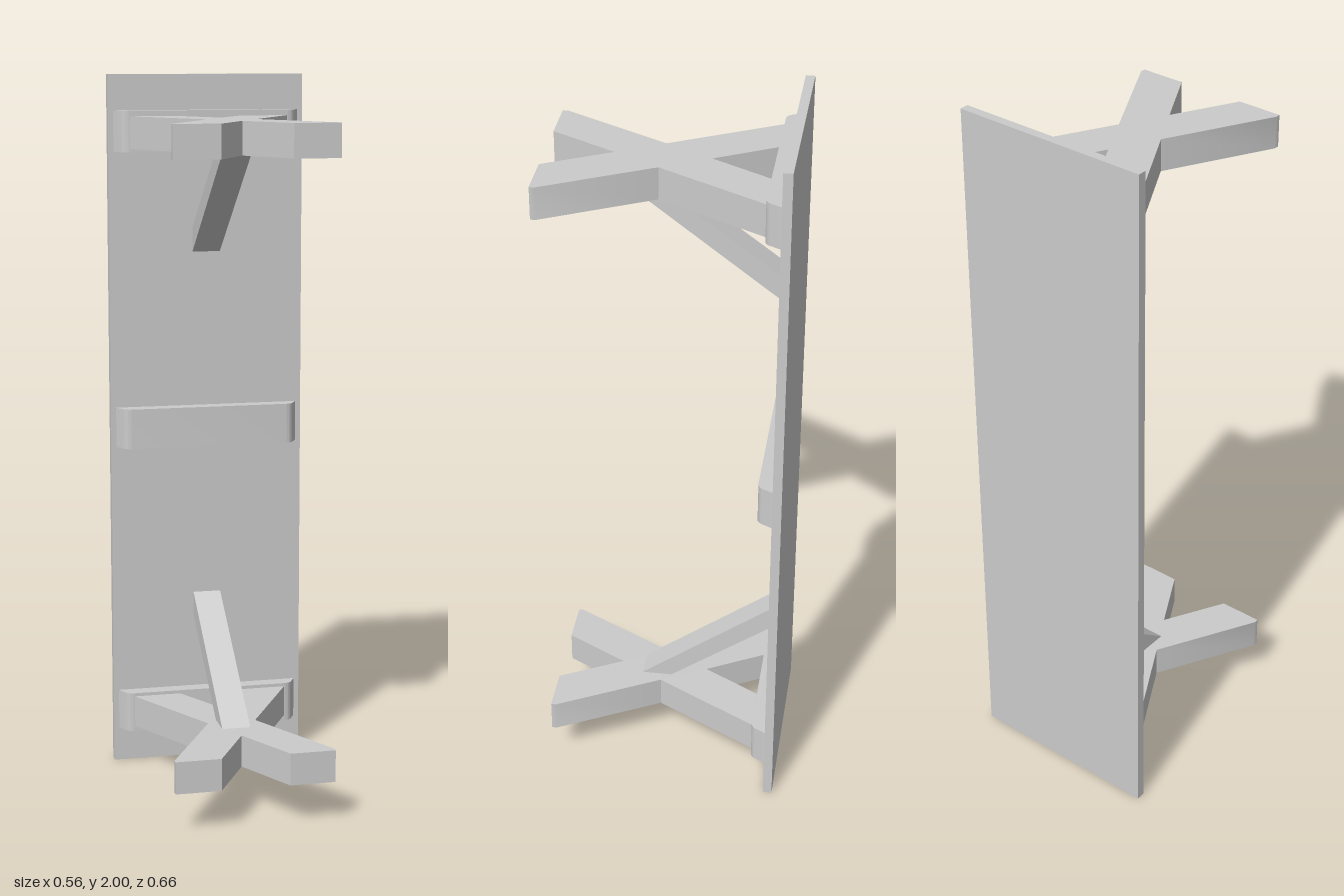
import * as THREE from 'three';
import { toCreasedNormals } from 'three/addons/utils/BufferGeometryUtils.js';

const material = new THREE.MeshStandardMaterial({ color: 0xcccccc });

function addMesh(parent, name, geometry, y = 0) {
  const mesh = new THREE.Mesh(toCreasedNormals(geometry, 0.6), material);
  mesh.name = name;
  mesh.position.y = y;
  parent.add(mesh);
}

// Outline in x and z, extruded to a height centred on y = 0
function slab(shape, height) {
  const geometry = new THREE.ExtrudeGeometry(shape, { depth: height, bevelEnabled: false, curveSegments: 6 });
  return geometry.translate(0, 0, -height / 2).rotateX(Math.PI / 2);
}

// Outline in z and y, extruded to a width centred on x = 0
function sideSlab(points, width) {
  const shape = new THREE.Shape(points.map(([z, y]) => new THREE.Vector2(z, y)));
  const geometry = new THREE.ExtrudeGeometry(shape, { depth: width, bevelEnabled: false });
  return geometry.translate(0, 0, -width / 2).rotateY(-Math.PI / 2);
}

// Batten with rounded lower corners
function railShape() {
  const s = new THREE.Shape();
  s.moveTo(-0.265, -0.305);
  s.lineTo(0.265, -0.305);
  s.lineTo(0.25, -0.276);
  s.quadraticCurveTo(0.243, -0.262, 0.226, -0.262);
  s.lineTo(-0.226, -0.262);
  s.quadraticCurveTo(-0.243, -0.262, -0.25, -0.276);
  s.closePath();
  return s;
}

// Crossed trestle legs, mirrored from one half
function crossShape() {
  const half = [
    [0, -0.1], [0.09, -0.262], [0.225, -0.262], [0.068, 0.027],
    [0.221, 0.312], [0.221, 0.326], [0.095, 0.326], [0, 0.15],
  ];
  const mirrored = half.slice(1, -1).reverse().map(([x, z]) => [-x, z]);
  return new THREE.Shape([...half, ...mirrored].map(([x, z]) => new THREE.Vector2(x, z)));
}

export function createModel() {
  const group = new THREE.Group();
  group.name = 'trestleTable';

  // Table top standing on its end
  const top = new THREE.BoxGeometry(0.56, 2, 0.025);
  addMesh(group, 'tableTop', top.translate(0, 0, -0.3175), 1);

  // Battens across the underside
  for (const [name, y] of [['lowerRail', 0.157], ['middleRail', 1], ['upperRail', 1.843]]) {
    addMesh(group, name, slab(railShape(), 0.115), y);
  }

  // Leg trestles with their diagonal braces
  const brace = [[0.085, 0.205], [0, 0.205], [-0.306, 0.43], [-0.306, 0.5]];
  for (const [side, upper] of [['lower', false], ['upper', true]]) {
    addMesh(group, side + 'CrossLegs', slab(crossShape(), 0.09), upper ? 1.84 : 0.16);
    const points = brace.map(([z, y]) => [z, upper ? 2 - y : y]);
    addMesh(group, side + 'Brace', sideSlab(points, 0.08));
  }

  return group;
}
